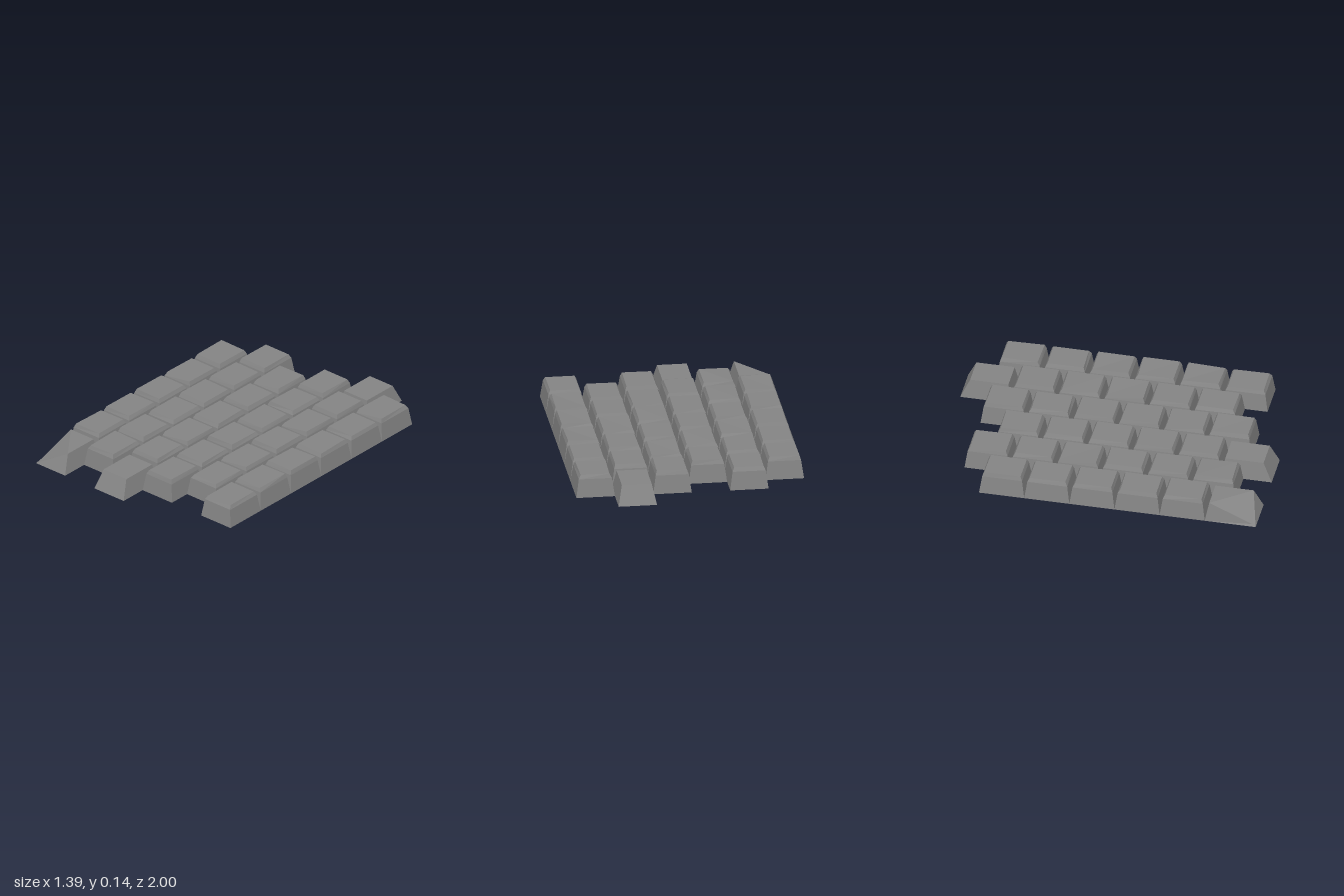
import * as THREE from 'three';

const PITCH_X = 0.2317, PITCH_Z = 0.2757;

// Flat-shaded open-bottomed shell through rings of four corners, capped on top
function shell(rings) {
  const pos = [];
  const tri = (...pts) => pts.forEach((p) => pos.push(...p));
  for (let r = 0; r < rings.length - 1; r++) {
    const a = rings[r], b = rings[r + 1];
    for (let i = 0; i < 4; i++) {
      const j = (i + 1) % 4;
      tri(a[i], a[j], b[j]);
      tri(a[i], b[j], b[i]);
    }
  }
  const t = rings[rings.length - 1];
  tri(t[0], t[1], t[2]);
  tri(t[0], t[2], t[3]);
  const geo = new THREE.BufferGeometry();
  geo.setAttribute('position', new THREE.Float32BufferAttribute(pos, 3));
  geo.computeVertexNormals();
  return geo;
}

// Corners run back left, front left, front right, back right as seen from above
const ring = (x0, x1, z0, z1, y) =>
  [[x0, y, z0], [x0, y, z1], [x1, y, z1], [x1, y, z0]];

export function createModel() {
  const group = new THREE.Group();
  group.name = 'cobblePaving';
  const stone = new THREE.MeshStandardMaterial({
    name: 'stone grey', color: 0x848484, side: THREE.DoubleSide, flatShading: true,
  });

  let seed = 7;
  const jitter = (amount) => {
    seed = (seed * 16807) % 2147483647;
    return (seed / 2147483647 - 0.5) * 2 * amount;
  };

  const add = (name, rings) => {
    const mesh = new THREE.Mesh(shell(rings), stone);
    mesh.name = name;
    group.add(mesh);
  };

  // Sloped wall, bevelled shoulder and slightly uneven top
  function cobble(x0, x1, z0, z1) {
    const top = ring(x0 + 0.027, x1 - 0.027, z0 + 0.028, z1 - 0.028, 0.136);
    top.forEach((p) => {
      p[0] += jitter(0.003);
      p[1] += jitter(0.003);
      p[2] += jitter(0.003);
    });
    add('cobble', [
      ring(x0, x1, z0, z1, 0),
      ring(x0 + 0.016, x1 - 0.016, z0 + 0.016, z1 - 0.016, 0.112),
      top,
    ]);
  }

  // Longer, lower stone whose outer end slopes down; dir is +1 front, -1 back
  function endCobble(x0, x1, z0, z1, dir, broken) {
    const back = dir < 0 ? 0.055 : 0.022, front = dir > 0 ? 0.055 : 0.022;
    const top = ring(x0 + 0.026, x1 - 0.026, z0 + back, z1 - front, 0.117);
    if (broken) top[1] = [x0 + 0.01, 0.012, z1 - 0.022]; // knocked-off corner
    add(broken ? 'brokenEndCobble' : 'endCobble', [ring(x0, x1, z0, z1, 0), top]);
  }

  // Six staggered columns: back edge, number of regular stones, end stone
  const inner = 2.5 * PITCH_Z, outer = 3 * PITCH_Z;
  const columns = [
    { start: -inner, count: 5, end: 1, broken: true },
    { start: -outer, count: 6 },
    { start: -inner, count: 5, end: 1 },
    { start: -outer, count: 6 },
    { start: -inner, count: 5, end: -1 },
    { start: -outer, count: 6 },
  ];
  columns.forEach(({ start, count, end, broken }, c) => {
    const x0 = (c - 3) * PITCH_X, x1 = x0 + PITCH_X;
    for (let i = 0; i < count; i++) {
      const z0 = start + i * PITCH_Z;
      cobble(x0, x1, z0, z0 + PITCH_Z);
    }
    if (end === 1) endCobble(x0, x1, inner, 1, 1, broken);
    if (end === -1) endCobble(x0, x1, -1, -inner, -1, false);
  });
  return group;
}
